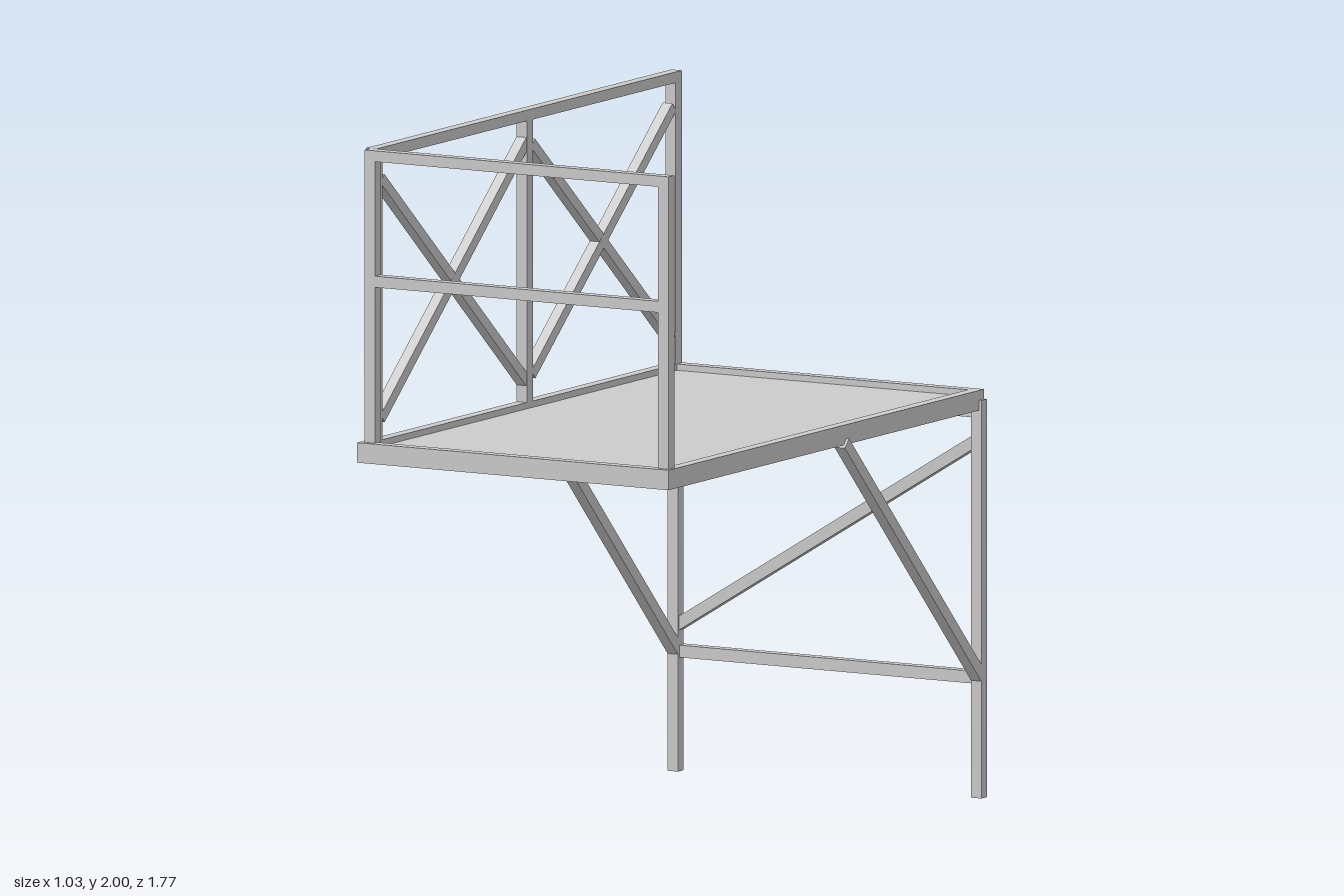
import * as THREE from 'three';

const material = new THREE.MeshStandardMaterial({ color: 0xcccccc, flatShading: true });
const T = 0.034; // timber thickness

export function createModel() {
  const model = new THREE.Group();
  model.name = 'raisedPlatform';

  // Box given by its lower and upper corners
  function block(parent, name, [x0, y0, z0], [x1, y1, z1]) {
    const mesh = new THREE.Mesh(new THREE.BoxGeometry(x1 - x0, y1 - y0, z1 - z0), material);
    mesh.position.set((x0 + x1) / 2, (y0 + y1) / 2, (z0 + z1) / 2);
    mesh.name = name;
    parent.add(mesh);
  }

  // Square bar running between two points
  function bar(parent, name, from, to, thickness = T) {
    const a = new THREE.Vector3(...from), b = new THREE.Vector3(...to);
    const mesh = new THREE.Mesh(new THREE.BoxGeometry(thickness, thickness, a.distanceTo(b)), material);
    mesh.position.copy(a).add(b).multiplyScalar(0.5);
    mesh.lookAt(b);
    mesh.name = name;
    parent.add(mesh);
  }

  function group(name) {
    const g = new THREE.Group();
    g.name = name;
    model.add(g);
    return g;
  }

  // Deck: thin panel held between two stacked rectangular frames
  const deck = group('deck');
  const [xl, xr, zb, zf] = [-0.515, 0.505, -0.872, 0.888];
  block(deck, 'deckPanel', [xl + 0.01, 1.134, zb + 0.01], [xr - 0.01, 1.147, zf - 0.01]);
  for (const [name, y0, y1] of [['lowerFrame', 1.108, 1.139], ['upperFrame', 1.139, 1.165]]) {
    block(deck, name + 'Right', [xl, y0, zb], [xl + T, y1, zf]);
    block(deck, name + 'Left', [xr - T, y0, zb], [xr, y1, zf]);
    block(deck, name + 'Back', [xl + T, y0, zb], [xr - T, y1, zb + T]);
    block(deck, name + 'Front', [xl + T, y0, zf - T], [xr - T, y1, zf]);
  }

  // Rear legs with slanted braces running forward under the deck
  const base = group('base');
  for (const x of [-0.498, 0.496]) {
    block(base, 'leg', [x - T / 2, 0, -0.875], [x + T / 2, 1.137, -0.843]);
    bar(base, 'deckBrace', [x, 0.345, -0.857], [x, 1.113, -0.094]);
  }

  // Cross members behind the legs
  block(base, 'lowerCrossbar', [-0.505, 0.325, -0.885], [0.49, 0.36, -0.852]);
  block(base, 'upperCrossbar', [-0.505, 1.085, -0.885], [0.49, 1.12, -0.852]);
  bar(base, 'rearDiagonal', [-0.495, 0.415, -0.866], [0.49, 1.02, -0.866]);

  // Side railing: three posts, a top rail and two crossed bays
  const side = group('sideRailing');
  const sx = -0.498;
  for (const z of [0.82, -0.018, -0.848]) {
    block(side, 'sidePost', [sx - T / 2, 1.139, z - T / 2], [sx + T / 2, 1.97, z + T / 2]);
  }
  block(side, 'sideTopRail', [sx - T / 2, 1.969, -0.865], [sx + T / 2, 2, 0.837]);
  for (const [z0, z1, y0, y1] of [[0.8, -0.01, 1.225, 1.91], [-0.04, -0.825, 1.24, 1.9]]) {
    bar(side, 'risingBrace', [sx, y0, z0], [sx, y1, z1], 0.032);
    bar(side, 'fallingBrace', [sx, y1, z0], [sx, y0, z1], 0.031);
  }

  // Front railing: two posts, a top rail and a middle rail
  const front = group('frontRailing');
  for (const x of [-0.483, 0.479]) {
    block(front, 'frontPost', [x - T / 2, 1.139, 0.838], [x + T / 2, 1.97, 0.871]);
  }
  block(front, 'frontTopRail', [-0.5, 1.969, 0.838], [0.496, 2, 0.871]);
  block(front, 'frontMiddleRail', [-0.466, 1.61, 0.838], [0.462, 1.642, 0.871]);

  return model;
}
